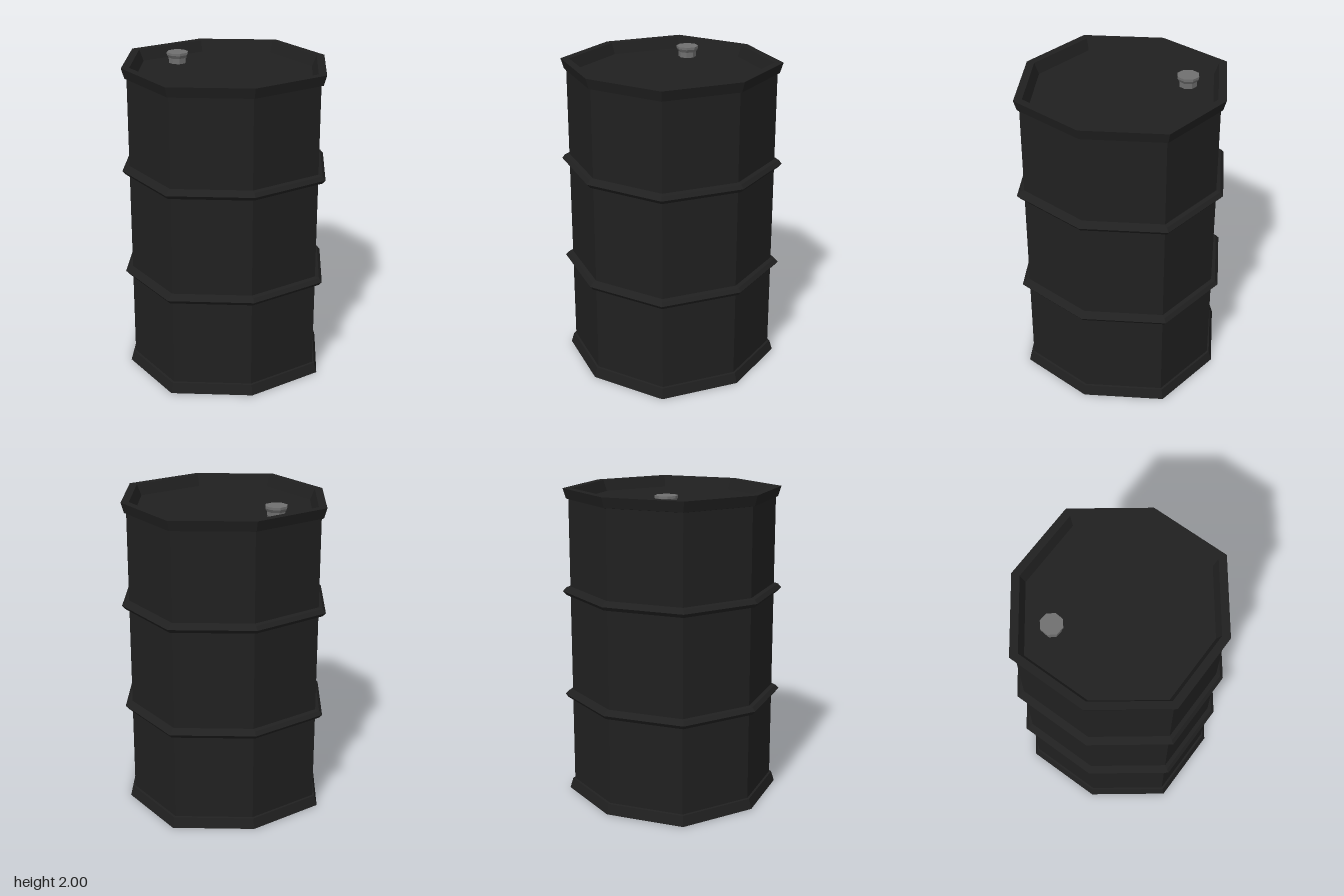
import * as THREE from 'three';

const DIAGONAL = 1.06; // the corners between the axes stand slightly further out

// Eight-sided turned part; profile runs from bottom centre outwards and up to top centre
function turned(name, profile, color, diagonal = 1) {
  const geo = new THREE.LatheGeometry(profile.map(([r, y]) => new THREE.Vector2(r, y)), 8);
  const pos = geo.attributes.position;
  for (let i = 0; i < pos.count; i++) {
    const x = pos.getX(i), z = pos.getZ(i);
    if (Math.abs(x) > 1e-4 && Math.abs(z) > 1e-4) {
      pos.setX(i, x * diagonal);
      pos.setZ(i, z * diagonal);
    }
  }
  geo.computeVertexNormals();
  const mesh = new THREE.Mesh(geo, new THREE.MeshStandardMaterial({ color, flatShading: true }));
  mesh.name = name;
  return mesh;
}

export function createModel() {
  const group = new THREE.Group();
  group.name = 'barrel';

  // Lower half of the rim: recessed end, sloped inner lip, flared outer band
  const rim = [[0, 0.07], [0.57, 0.07], [0.6, 0], [0.651, 0], [0.632, 0.065], [0.619, 0.068]];
  // Pointed hoop around the body
  const hoop = (y) => [
    [0.619, y - 0.03], [0.645, y - 0.024], [0.665, y], [0.645, y + 0.024], [0.619, y + 0.03],
  ];
  const topRim = rim.map(([r, y]) => [r, 2 - y]).reverse();
  group.add(turned('drum', [...rim, ...hoop(0.658), ...hoop(1.345), ...topRim], 0x202020, DIAGONAL));

  // Filler cap on the recessed lid
  const cap = turned('fillerCap', [[0.056, 1.925], [0.058, 1.965], [0.07, 1.985], [0.07, 2], [0, 2]], 0x707070);
  cap.position.set(-0.225, 0, -0.33);
  group.add(cap);

  return group;
}
